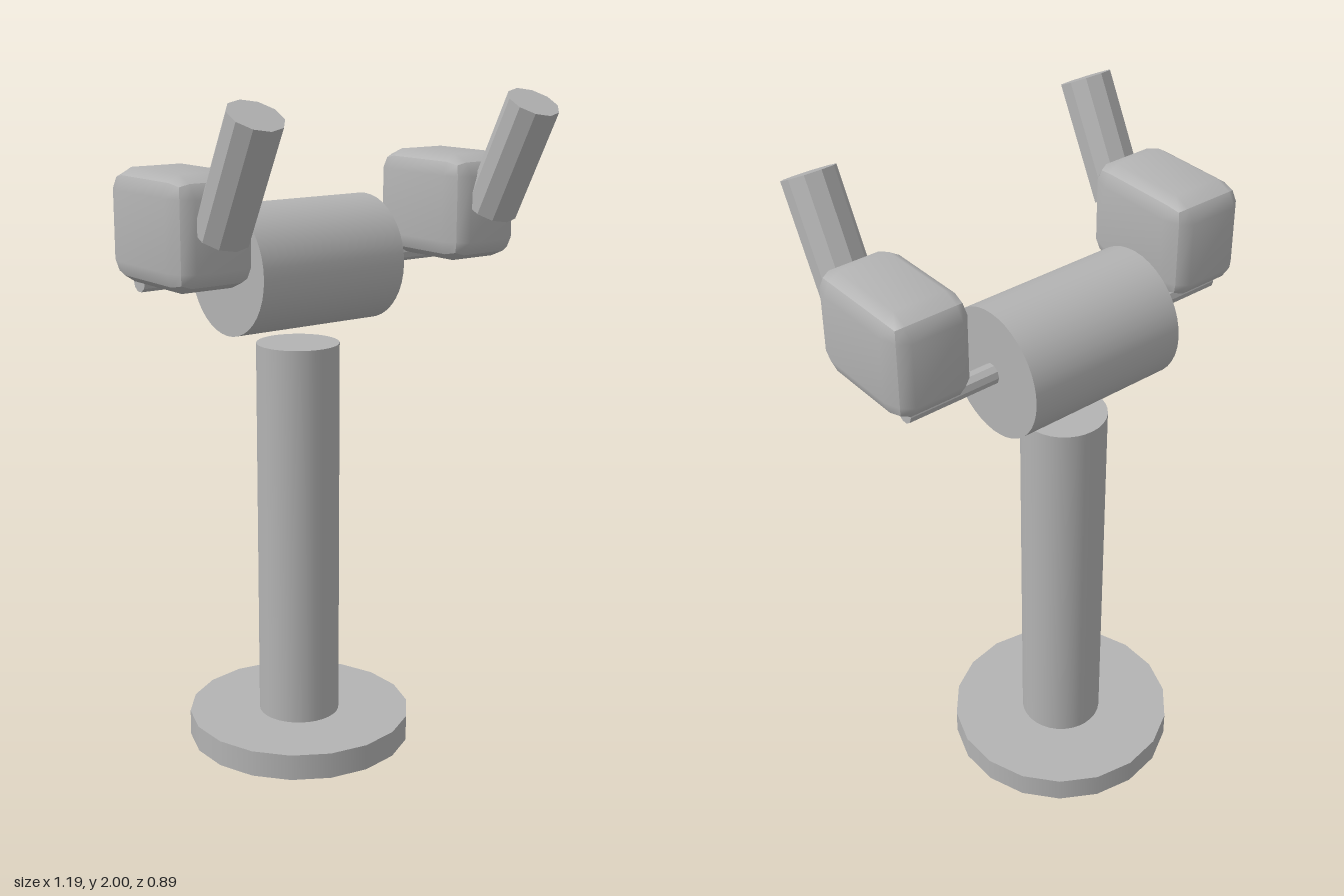
import * as THREE from 'three';

const grey = new THREE.MeshStandardMaterial({ color: 0xb3b3b3 });
grey.name = 'plain grey';

// Faceted copy of a geometry
function faceted(geometry) {
  const g = geometry.toNonIndexed();
  g.computeVertexNormals();
  return g;
}

// Box with bulging faces: edges and corners are drawn in, creased between faces
function bulgedBox(hx, hy, hz) {
  const g = new THREE.BoxGeometry(2, 2, 2, 3, 3, 3);
  const pos = g.attributes.position;
  const half = [hx, hy, hz];
  const pull = [0, 1, 0.87, 0.82];
  for (let i = 0; i < pos.count; i++) {
    const p = [pos.getX(i), pos.getY(i), pos.getZ(i)];
    const outer = p.filter((v) => Math.abs(v) > 0.9).length;
    const q = p.map((v, k) => half[k] * Math.sign(v) * (Math.abs(v) > 0.9 ? pull[outer] : 0.62));
    pos.setXYZ(i, q[0], q[1], q[2]);
  }
  g.computeVertexNormals();
  return g;
}

export function createModel() {
  const group = new THREE.Group();
  const add = (name, geometry, x, y, z) => {
    const mesh = new THREE.Mesh(geometry, grey);
    mesh.name = name;
    mesh.position.set(x, y, z);
    group.add(mesh);
    return mesh;
  };
  const axisZ = -0.1;

  // Stand
  add('base', new THREE.CylinderGeometry(0.345, 0.345, 0.08, 18), 0, 0.04, axisZ);
  add('post', new THREE.CylinderGeometry(0.125, 0.125, 1.18, 32), 0, 0.67, axisZ);

  // Horizontal drum and the rod through it
  add('drum', new THREE.CylinderGeometry(0.188, 0.188, 0.5, 40).rotateZ(Math.PI / 2), 0, 1.498, axisZ);
  add('rod', faceted(new THREE.CylinderGeometry(0.03, 0.03, 1.07, 10)).rotateZ(Math.PI / 2), 0, 1.498, axisZ);

  // Mirrored housings with tilted barrels
  for (const [side, s] of [['left', 1], ['right', -1]]) {
    add(side + 'Housing', bulgedBox(0.125, 0.155, 0.196), s * 0.47, 1.655, 0.02);
    const barrel = add(side + 'Barrel', faceted(new THREE.CylinderGeometry(0.077, 0.077, 0.35, 10)), s * 0.47, 1.812, 0.298);
    barrel.rotation.x = 0.476;
  }
  return group;
}
